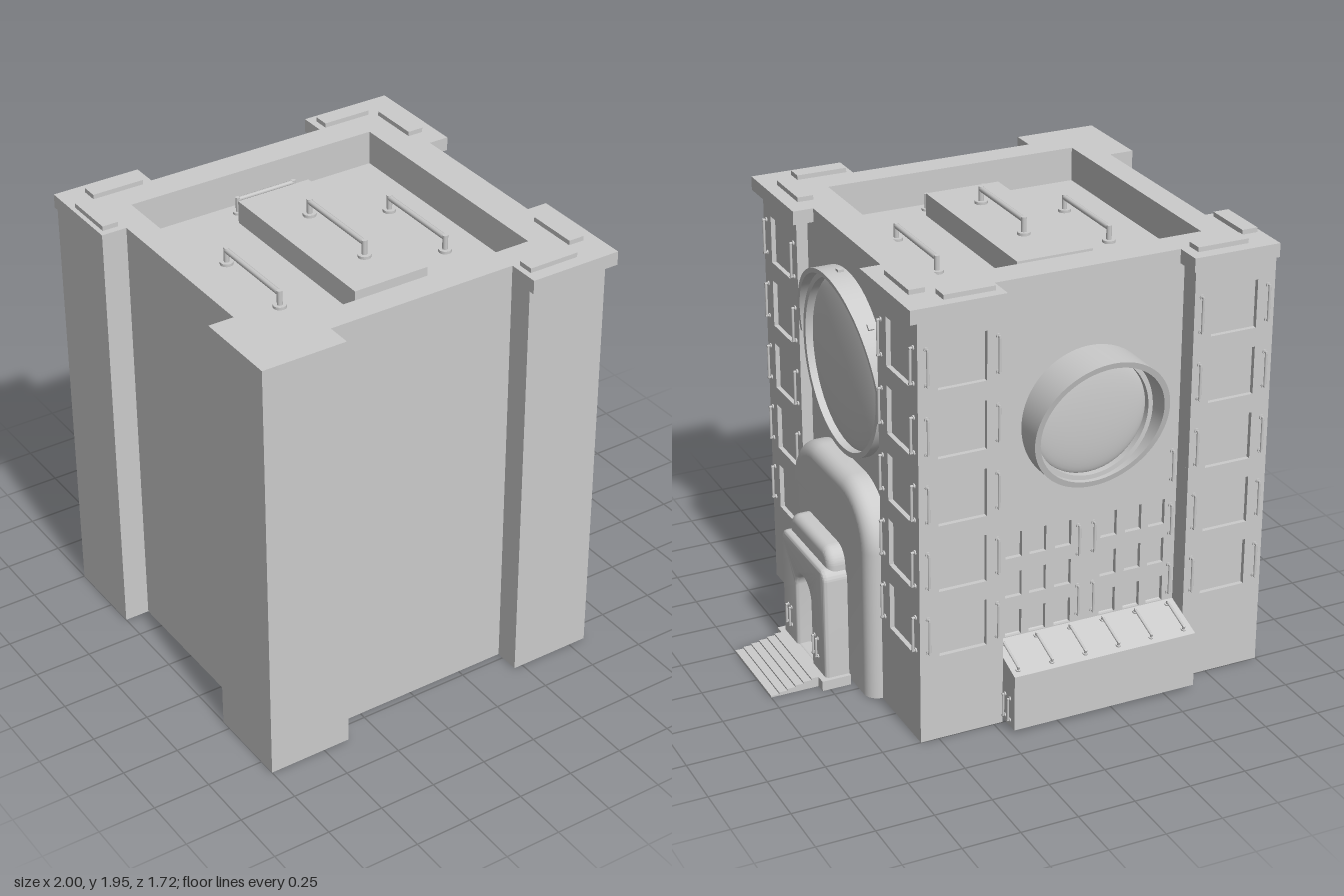
import * as THREE from 'three';
import { toCreasedNormals } from 'three/addons/utils/BufferGeometryUtils.js';

const grey = new THREE.MeshStandardMaterial({ color: 0xcccccc, side: THREE.DoubleSide });

export function createModel() {
  const model = new THREE.Group();

  function add(name, geo, parent = model, x = 0, y = 0, z = 0) {
    const m = new THREE.Mesh(geo, grey);
    m.name = name;
    m.position.set(x, y, z);
    parent.add(m);
    return m;
  }
  // Box given by its min and max corners
  function box(name, x0, x1, y0, y1, z0, z1, parent = model) {
    return add(name, new THREE.BoxGeometry(x1 - x0, y1 - y0, z1 - z0), parent, (x0 + x1) / 2, (y0 + y1) / 2, (z0 + z1) / 2);
  }
  const poly = (pts, C = THREE.Shape) => new C(pts.map(([x, z]) => new THREE.Vector2(x, -z)));
  // Floor-plan prism
  function prism(name, plan, y0, y1, hole) {
    const s = poly(plan);
    if (hole) s.holes.push(poly(hole, THREE.Path));
    const g = new THREE.ExtrudeGeometry(s, { depth: y1 - y0, bevelEnabled: false });
    g.rotateX(-Math.PI / 2);
    add(name, g, model, 0, y0, 0);
  }
  // Group whose local +z points out of a wall
  function wallFrame(name, side, x, y, z) {
    const g = new THREE.Group();
    g.name = name;
    g.position.set(x, y, z);
    g.rotation.y = side === 'door' ? Math.PI / 2 : Math.PI;
    model.add(g);
    return g;
  }
  // Grab rail along local y, standing off along +z
  function rail(parent, x, y, z, len, h, r, foot = r * 1.8) {
    const g = new THREE.Group();
    g.name = 'rail';
    g.position.set(x, y, z);
    add('railBar', new THREE.CylinderGeometry(r, r, len, 8), g, 0, 0, h - r);
    for (const s of [-1, 1]) {
      add('railPost', new THREE.CylinderGeometry(r, r, h, 8).rotateX(Math.PI / 2), g, 0, s * len / 2, h / 2);
      add('railFoot', new THREE.CylinderGeometry(foot, foot, r, 12).rotateX(Math.PI / 2), g, 0, s * len / 2, r / 2);
    }
    parent.add(g);
    return g;
  }
  // Wall slab pierced by window openings [cx, cy, w, h]
  function facade(parent, x0, x1, top, windows) {
    const rect = (C, a, b, c, d) => new C([[a, c], [b, c], [b, d], [a, d]].map((p) => new THREE.Vector2(...p)));
    const s = rect(THREE.Shape, x0, x1, 0, top);
    for (const [cx, cy, w, h] of windows) s.holes.push(rect(THREE.Path, cx - w / 2, cx + w / 2, cy - h / 2, cy + h / 2));
    add('windowWall', new THREE.ExtrudeGeometry(s, { depth: 0.02, bevelEnabled: false }), parent, 0, 0, -0.02);
  }

  // Main block, parapet and roof with sunken pit
  const core = [[-1, -.73], [-.63, -.73], [-.63, -.64], [.21, -.64], [.21, -.73], [.56, -.73], [.56, -.37], [.53, -.37],
    [.53, .46], [.56, .46], [.56, .835], [.21, .835], [.21, .72], [-.63, .72], [-.63, .83], [-1, .83],
    [-1, .45], [-.89, .45], [-.89, -.37], [-1, -.37]];
  const roof = [[-1, -.775], [-.61, -.775], [-.61, -.66], [.21, -.66], [.21, -.775], [.62, -.775], [.62, -.3], [.53, -.3],
    [.53, .39], [.62, .39], [.62, .86], [.21, .86], [.21, .72], [-.63, .72], [-.63, .83], [-1, .83],
    [-1, .45], [-.89, .45], [-.89, -.37], [-1, -.37]];
  const pit = [[-.78, -.525], [.375, -.525], [.375, .6], [-.78, .6]];
  prism('mainBlock', core, 0, 1.77);
  prism('parapet', core, 1.77, 1.86, pit);
  prism('roofCornice', roof, 1.86, 1.92, pit);
  box('roofHatch', -.36, -.02, 1.77, 1.87, -.39, .475);
  for (const [x0, x1, z0, z1] of [[-.885, -.655, -.72, -.65], [-.98, -.91, -.63, -.4], [.24, .46, -.73, -.66],
    [.49, .56, -.63, -.4], [.49, .56, .485, .715], [.235, .46, .735, .805]]) box('roofPlate', x0, x1, 1.92, 1.94, z0, z1);

  // Roof rails
  const roofRails = new THREE.Group();
  roofRails.name = 'roofRails';
  roofRails.rotation.x = -Math.PI / 2;
  model.add(roofRails);
  for (const [x, y] of [[-.575, 1.77], [-.18, 1.87], [.21, 1.77]]) rail(roofRails, x, -.07, y, .4, .075, .012, .028);
  for (const z of [-.46, .535]) rail(roofRails, -.185, -z, 1.77, .27, .075, .01, .022).rotation.z = Math.PI / 2;

  // Corner towers: five storeys of windows flanked by rails
  const rows = [0, 1, 2, 3, 4].map((i) => 0.49 + i * 0.2935);
  function tower(side, x, z, x0, x1, c) {
    const g = wallFrame('towerWall', side, x, 0, z);
    facade(g, x0, x1, 1.86, rows.map((y) => [c, y, .21, .21]));
    for (const y of rows) for (const s of [-1, 1]) rail(g, c + s * .153, y, 0, .15, .02, .006);
  }
  tower('door', .58, 0, -.835, -.46, -.648);
  tower('door', .58, 0, .37, .73, .56);
  tower('back', 0, -.75, .63, 1, .815);
  tower('back', 0, -.75, -.58, -.21, -.39);

  // Back wall with small windows
  const back = wallFrame('backWall', 'back', -.21, 0, -.66);
  const small = [];
  for (const c of [-.33, -.22, -.105, .105, .22, .33]) for (const y of [.4, .58, .76]) small.push([c, y, .075, .115]);
  facade(back, -.42, .42, 1.92, small);
  for (const x of [-.395, -.035, .035, .395]) for (const y of [.44, .72]) rail(back, x, y, 0, .13, .02, .006);
  for (const x of [-.395, .395]) rail(back, x, .97, 0, .13, .02, .006);

  // Ring or half ring whose depth grows with height
  function hood(name, parent, rOut, rIn, dLow, dHigh, half) {
    const s = new THREE.Shape();
    if (half) {
      s.absarc(0, 0, rOut, 0, Math.PI, false);
      s.absarc(0, 0, rIn, Math.PI, 0, true);
    } else {
      s.absarc(0, 0, rOut, 0, Math.PI * 2, false);
      s.holes.push(new THREE.Path().absarc(0, 0, rIn, 0, Math.PI * 2, true));
    }
    const g = new THREE.ExtrudeGeometry(s, { depth: 1, bevelEnabled: false, curveSegments: 48 });
    const p = g.attributes.position;
    const low = half ? 0 : -rOut;
    for (let i = 0; i < p.count; i++) {
      p.setZ(i, p.getZ(i) * (dLow + (dHigh - dLow) * (p.getY(i) - low) / (rOut - low)));
    }
    return add(name, toCreasedNormals(g, 0.6), parent);
  }
  const dome = (parent, r, h) => add('roundWindowGlass',
    new THREE.SphereGeometry(r, 48, 12, 0, Math.PI * 2, 0, Math.PI / 2).rotateX(Math.PI / 2).scale(1, 1, h / r), parent);

  // Large round window with half hood and studs
  const big = wallFrame('largeRoundWindow', 'door', .53, 1.36, -0.0);
  big.position.z = .046;
  hood('windowRing', big, .392, .368, .04, .04, false);
  dome(big, .37, .045);
  hood('windowHood', big, .412, .392, .045, .1, true);
  for (const a of [-.82, 0, .82]) {
    const stud = add('hoodStud', new THREE.BoxGeometry(.025, .02, .025), big, Math.sin(a) * .412, Math.cos(a) * .412, .03);
    stud.rotation.z = -a;
  }

  // Back round window with slanted tube
  const port = wallFrame('backRoundWindow', 'back', -.21, 1.28, -.66);
  hood('windowTube', port, .3, .275, .05, .2, false);
  hood('windowRing', port, .278, .255, .035, .035, false);
  dome(port, .26, .035);

  // Back planter box with sloping lid and rails
  const profile = new THREE.Shape([[.64, .02], [.86, .02], [.86, .27], [.64, .345]].map((p) => new THREE.Vector2(...p)));
  const planter = new THREE.ExtrudeGeometry(profile, { depth: .84, bevelEnabled: false });
  add('backBox', planter.rotateY(Math.PI / 2), model, -.63, 0, 0).geometry.computeVertexNormals();
  const lid = wallFrame('backBoxLid', 'back', 0, .305, -.757);
  lid.rotation.set(-Math.PI / 2 - .33, 0, 0);
  for (let i = 0; i < 6; i++) rail(lid, -.59 + i * .154, 0, 0, .15, .022, .006);
  for (const [x, side] of [[.21, 1], [-.63, -1]]) {
    for (const z of [-.775, -.82]) rail(model, x, .1, z, .1, .015, .005).rotation.y = side * Math.PI / 2;
  }

  // Bevelled upright block with rounded top corners, standing on the ground
  function roundedBlock(name, parent, w, y0, y1, r, z0, z1, bevel, holeW, holeTop) {
    const a = w - bevel, t = y1 - bevel;
    const s = new THREE.Shape();
    s.moveTo(-a, y0);
    s.lineTo(a, y0);
    s.lineTo(a, t - r);
    s.absarc(a - r, t - r, r, 0, Math.PI / 2, false);
    s.lineTo(-a + r, t);
    s.absarc(-a + r, t - r, r, Math.PI / 2, Math.PI, false);
    if (holeW) {
      const h = new THREE.Path();
      const hw = holeW + bevel;
      h.moveTo(-hw, .03);
      h.lineTo(-hw, holeTop - holeW);
      h.absarc(0, holeTop - holeW, hw, Math.PI, 0, true);
      h.lineTo(hw, .03);
      s.holes.push(h);
    }
    const g = new THREE.ExtrudeGeometry(s, { depth: z1 - z0 - bevel, bevelSize: bevel, bevelThickness: bevel, bevelSegments: 6, curveSegments: 16 });
    const p = g.attributes.position;
    for (let i = 0; i < p.count; i++) {
      p.setY(i, Math.max(p.getY(i), y0));
      p.setZ(i, Math.max(p.getZ(i), 0));
    }
    return add(name, toCreasedNormals(g, 0.7), parent, 0, 0, z0);
  }

  // Entrance: arched bay, porch with doorway, cap, base and steps
  const entry = wallFrame('entrance', 'door', 0, 0, .05);
  roundedBlock('archedBay', entry, .413, 0, .935, .2, .5, .638, .06);
  roundedBlock('porch', entry, .237, 0, .545, .03, .655, .76, .018, .078, .41);
  roundedBlock('porchCap', entry, .22, .52, .63, .04, .655, .73, .035);
  box('door', -.1, .1, .03, .43, .67, .69, entry);
  box('porchBase', -.255, .255, 0, .045, .655, .785, entry);
  for (let i = 0; i < 6; i++) box('step', -.21, .21, 0, .045 - i * .0075, .78, 1 - (5 - i) * .0, entry).scale.z = 1;
  entry.children.filter((m) => m.name === 'step').forEach((m, i) => {
    const d = .22 * (6 - (5 - i)) / 6;
    m.scale.z = d / .22;
    m.position.z = .78 + d / 2;
  });
  for (const x of [-.175, -.14, .12, .155]) rail(entry, x, .155, .76, .085, .015, .005);

  return model;
}
